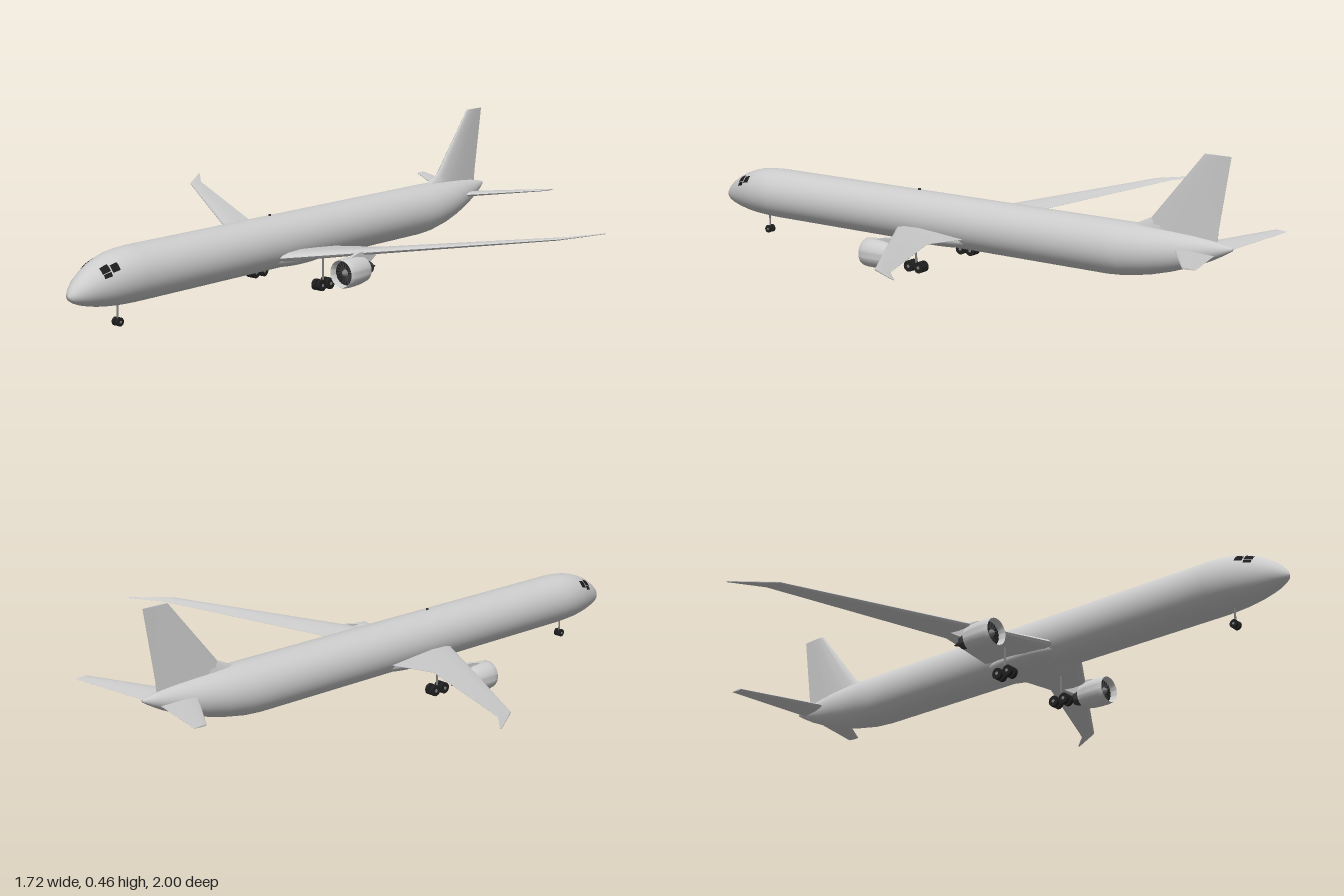
import * as THREE from 'three';
import { toCreasedNormals } from 'three/addons/utils/BufferGeometryUtils.js';

const paint = (name, color, side = THREE.FrontSide) =>
  Object.assign(new THREE.MeshStandardMaterial({ color, side }), { name });

// Skin over closed rings of [x, y, z], capped at both ends, always facing outward
function loft(rings, crease) {
  const n = rings[0].length, pos = rings.flat(2), idx = [];
  for (let r = 0; r < rings.length - 1; r++)
    for (let i = 0; i < n; i++) {
      const a = r * n + i, b = r * n + (i + 1) % n;
      idx.push(a, b, b + n, a, b + n, a + n);
    }
  [rings[0], rings[rings.length - 1]].forEach((ring, end) => {
    const c = pos.length / 3, base = end ? (rings.length - 1) * n : 0;
    for (let k = 0; k < 3; k++) pos.push(ring.reduce((s, p) => s + p[k], 0) / n);
    for (let i = 0; i < n; i++) {
      const a = base + i, b = base + (i + 1) % n;
      idx.push(...(end ? [a, b, c] : [b, a, c]));
    }
  });
  let volume = 0;
  const v = (i) => new THREE.Vector3().fromArray(pos, i * 3);
  for (let i = 0; i < idx.length; i += 3)
    volume += v(idx[i]).dot(v(idx[i + 1]).cross(v(idx[i + 2])));
  if (volume < 0) idx.reverse();
  const g = new THREE.BufferGeometry();
  g.setAttribute('position', new THREE.Float32BufferAttribute(pos, 3));
  g.setIndex(idx);
  g.computeVertexNormals();
  return crease ? toCreasedNormals(g, crease) : g;
}

// Aerofoil outline: chord fraction and thickness fraction
const FOIL = [[0, 0], [0.03, 0.25], [0.12, 0.43], [0.35, 0.5], [0.65, 0.3], [1, 0.02],
  [1, -0.02], [0.65, -0.3], [0.35, -0.5], [0.12, -0.43], [0.03, -0.25]];

// Stations: [x, y, leading z, trailing z, thickness]; upright thickens along x
const foil = (stations, upright, side = 1) => loft(stations.map(([x, y, le, te, t]) =>
  FOIL.map(([u, w]) => {
    const z = le + (te - le) * u;
    return upright ? [x + w * t, y, z] : [side * x, y + w * t, z];
  })), 0.6);

// Fuselage sections: z, bottom, top, half width
const BODY = [
  [1, 0.113, 0.119, 0.003], [0.995, 0.103, 0.132, 0.015], [0.98, 0.094, 0.15, 0.028],
  [0.96, 0.086, 0.168, 0.04], [0.93, 0.078, 0.188, 0.052], [0.9, 0.072, 0.203, 0.062],
  [0.87, 0.068, 0.214, 0.07], [0.84, 0.065, 0.222, 0.076], [0.8, 0.063, 0.227, 0.081],
  [0.76, 0.062, 0.229, 0.083], [-0.56, 0.062, 0.229, 0.083], [-0.62, 0.066, 0.229, 0.081],
  [-0.7, 0.08, 0.227, 0.072], [-0.77, 0.099, 0.224, 0.06], [-0.84, 0.123, 0.218, 0.043],
  [-0.9, 0.15, 0.21, 0.027], [-0.94, 0.172, 0.203, 0.015], [-0.965, 0.188, 0.197, 0.004]];

// Point on the fuselage skin at z and angle, pushed out by a factor
function skin(z, angle, grow = 1) {
  let i = 0;
  while (i < BODY.length - 2 && BODY[i + 1][0] > z) i++;
  const a = BODY[i], b = BODY[i + 1], f = (z - a[0]) / (b[0] - a[0]);
  const [, lo, hi, w] = a.map((q, k) => q + (b[k] - q) * f);
  return [Math.cos(angle) * w * grow, (lo + hi) / 2 + Math.sin(angle) * (hi - lo) / 2 * grow, z];
}

// Thin pane that follows the skin
function pane(z0, z1, a0, a1, side) {
  const g = new THREE.PlaneGeometry(1, 1, 6, 6), p = g.attributes.position;
  for (let i = 0; i < p.count; i++) {
    const u = p.getX(i) + 0.5, w = p.getY(i) + 0.5;
    const [x, y, z] = skin(z0 + (z1 - z0) * u,
      THREE.MathUtils.degToRad(a0 + (a1 - a0) * w), 1.02);
    p.setXYZ(i, side * x, y, z);
  }
  g.computeVertexNormals();
  return g;
}

export function createModel() {
  const model = new THREE.Group();
  model.name = 'airliner';
  const white = paint('lightGreySkin', 0xcccccc);
  const glass = paint('darkGlass', 0x1c1c1e, THREE.DoubleSide);
  const rubber = paint('blackRubber', 0x202020);
  const metal = paint('darkMetal', 0x3a3a3c);
  const steel = paint('greySteel', 0x808080);

  const add = (name, geometry, material, parent = model) => {
    const mesh = new THREE.Mesh(geometry, material);
    mesh.name = name;
    parent.add(mesh);
    return mesh;
  };
  const lathe = (points, segments = 40) => toCreasedNormals(new THREE.LatheGeometry(
    points.map(([r, z]) => new THREE.Vector2(r, z)), segments).rotateX(Math.PI / 2), 0.7);

  // Fuselage and belly
  add('fuselage', loft(BODY.map(([z]) => Array.from({ length: 48 }, (_, i) =>
    skin(z, i / 48 * Math.PI * 2)))), white);
  add('bellyFairing', new THREE.SphereGeometry(1, 40, 20).scale(0.088, 0.038, 0.19)
    .translate(0, 0.1, 0.07), white);
  add('antenna', new THREE.BoxGeometry(0.004, 0.008, 0.008).translate(0, 0.231, 0.165), metal);

  // Tail fin with its low fillet
  add('tailFin', foil([[0, 0.2, -0.66, -0.915, 0.03], [0, 0.24, -0.685, -0.918, 0.026],
    [0, 0.463, -0.866, -0.952, 0.008]], true), white);
  add('finFillet', foil([[0, 0.215, -0.62, -0.86, 0.034], [0, 0.232, -0.65, -0.86, 0.026],
    [0, 0.255, -0.698, -0.86, 0.014]], true), white);

  // A pair of wheels on one axle
  const axle = (parent, x, z, r, width, gap) => {
    for (const s of [-1, 1])
      add('wheel', new THREE.CylinderGeometry(r, r, width, 24).rotateZ(Math.PI / 2)
        .translate(x + s * gap, r, z), rubber, parent);
    add('axle', new THREE.CylinderGeometry(r * 0.3, r * 0.3, gap * 2 + width + 0.002, 12)
      .rotateZ(Math.PI / 2).translate(x, r, z), steel, parent);
  };
  const strut = (parent, x, z, y0, y1, r) => add('strut',
    new THREE.CylinderGeometry(r, r, y1 - y0, 12).translate(x, (y0 + y1) / 2, z), steel, parent);

  for (const s of [1, -1]) {
    const side = s > 0 ? 'left' : 'right';

    // Swept wing with raked tip, and tailplane
    add(side + 'Wing', foil([[0, 0.104, 0.255, -0.06, 0.034], [0.08, 0.11, 0.2, -0.06, 0.032],
      [0.26, 0.131, 0.079, -0.06, 0.02], [0.775, 0.19, -0.267, -0.322, 0.008],
      [0.862, 0.2, -0.397, -0.405, 0.003]], false, s), white);
    add(side + 'Tailplane', foil([[0, 0.168, -0.77, -0.91, 0.018], [0.04, 0.172, -0.797, -0.922, 0.016],
      [0.285, 0.196, -0.957, -1, 0.005]], false, s), white);

    // Cockpit panes
    add(side + 'FrontWindow', pane(0.887, 0.912, 36, 57, s), glass);
    add(side + 'SideWindow', pane(0.859, 0.883, 30, 50, s), glass);
    add(side + 'LowerWindow', pane(0.887, 0.91, 23, 34, s), glass);

    // Engine
    const engine = new THREE.Group();
    engine.name = side + 'Engine';
    engine.position.set(s * 0.283, 0.083, 0);
    model.add(engine);
    add('nacelle', lathe([[0.036, 0.058], [0.039, 0.058], [0.044, 0.085], [0.046, 0.115], [0.046, 0.14],
      [0.044, 0.154], [0.042, 0.158], [0.04, 0.155], [0.038, 0.14], [0.038, 0.1], [0.036, 0.058]]), white, engine);
    add('fanDisc', new THREE.CircleGeometry(0.0385, 40).translate(0, 0, 0.135), rubber, engine);
    for (let i = 0; i < 18; i++)
      add('fanBlade', new THREE.BoxGeometry(0.003, 0.026, 0.004).rotateY(0.6)
        .translate(0, 0.024, 0.136).rotateZ(i / 18 * Math.PI * 2), metal, engine);
    add('spinner', lathe([[0.012, 0.134], [0.009, 0.143], [0.004, 0.149], [0, 0.151]], 24), steel, engine);
    add('fanDuct', new THREE.CircleGeometry(0.037, 40).rotateY(Math.PI).translate(0, 0, 0.07), rubber, engine);
    add('exhaustCore', lathe([[0, -0.01], [0.006, 0.005], [0.012, 0.02], [0.019, 0.022],
      [0.025, 0.045], [0.028, 0.072]], 32), metal, engine);
    const pylon = new THREE.Shape([[0.125, 0.043], [0.08, 0.054], [0.04, 0.056], [-0.02, 0.045],
      [0.02, 0.02], [0.07, 0.025], [0.09, 0.041]].map(([z, y]) => new THREE.Vector2(z, y)));
    add('pylon', new THREE.ExtrudeGeometry(pylon, { depth: 0.012, bevelEnabled: false })
      .rotateY(-Math.PI / 2).translate(0.006, 0, 0), white, engine);

    // Main landing gear with two axles
    const gear = new THREE.Group();
    gear.name = side + 'MainGear';
    model.add(gear);
    for (const z of [0.054, 0.093]) axle(gear, s * 0.14, z, 0.018, 0.012, 0.01);
    add('bogieBeam', new THREE.BoxGeometry(0.006, 0.006, 0.045)
      .translate(s * 0.14, 0.019, 0.0735), steel, gear);
    strut(gear, s * 0.14, 0.0735, 0.018, 0.115, 0.0035);
  }

  // Nose landing gear
  const noseGear = new THREE.Group();
  noseGear.name = 'noseGear';
  model.add(noseGear);
  axle(noseGear, 0, 0.815, 0.013, 0.008, 0.008);
  strut(noseGear, 0, 0.815, 0.013, 0.075, 0.003);
  return model;
}
